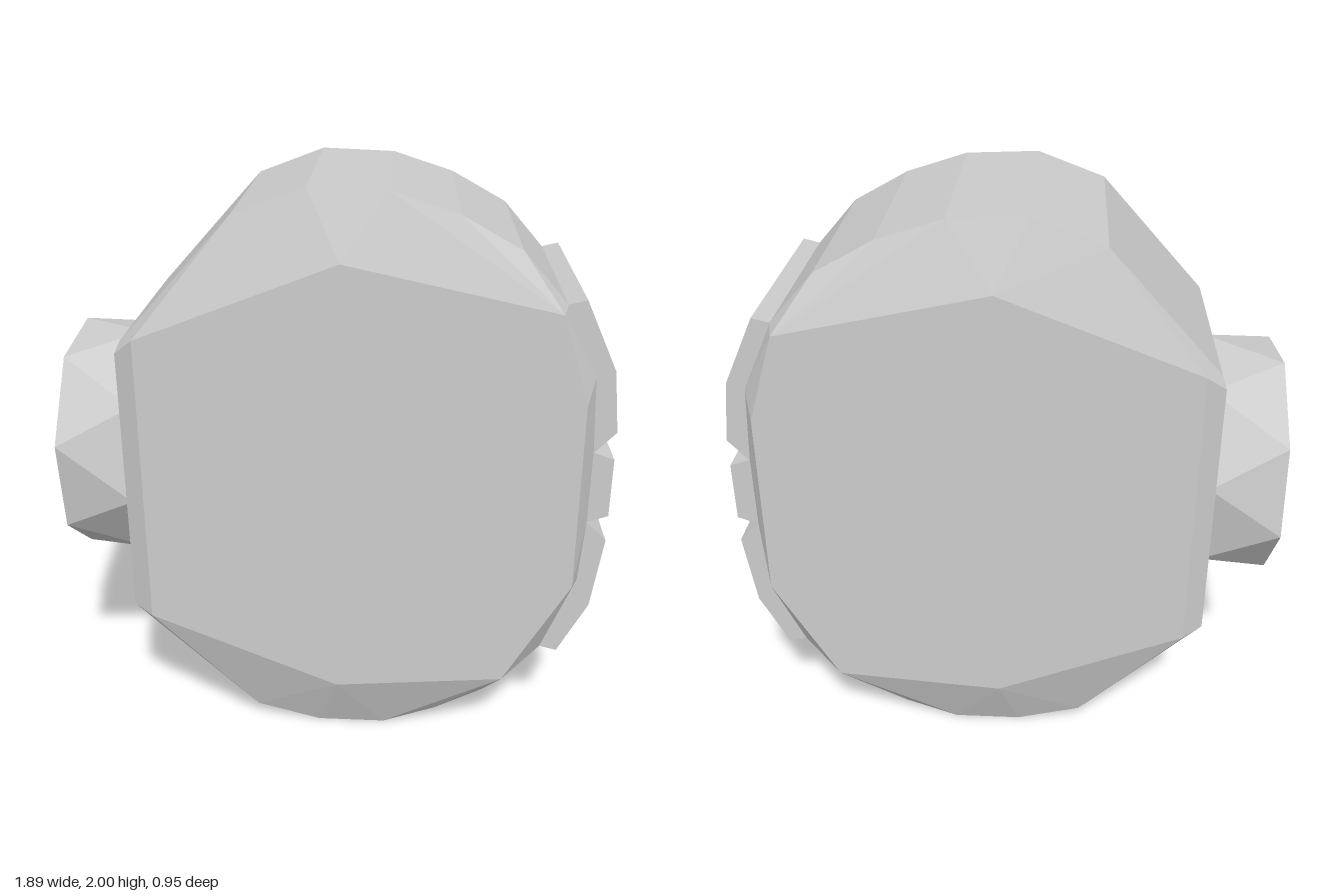
import * as THREE from 'three';
import { ConvexGeometry } from 'three/addons/geometries/ConvexGeometry.js';

const material = new THREE.MeshStandardMaterial({ color: 0xcccccc, flatShading: true });

function addMesh(group, name, geometry) {
  const mesh = new THREE.Mesh(geometry, material);
  mesh.name = name;
  group.add(mesh);
}

// Repeats an x/y outline at +z and -z
function bothSides(outline, z) {
  return outline.flatMap(([x, y]) => [new THREE.Vector3(x, y, z), new THREE.Vector3(x, y, -z)]);
}

// Eight-sided ring around the x axis
function knobRing(x, radius, turn) {
  return Array.from({ length: 8 }, (_, i) => {
    const a = THREE.MathUtils.degToRad(turn + i * 45);
    return new THREE.Vector3(x, 1 + radius * Math.sin(a), radius * Math.cos(a));
  });
}

export function createModel() {
  const model = new THREE.Group();
  model.name = 'model';

  // Faceted drum body: wide rim, flat left wall and smaller end faces
  const rim = [
    [-0.70, 0.52], [-0.28, 0.06], [-0.05, 0], [0.19, 0], [0.38, 0.07], [0.55, 0.16],
    [0.75, 0.36], [0.86, 0.64], [0.875, 0.87], [0.875, 1.13], [0.86, 1.40], [0.75, 1.64],
    [0.60, 1.81], [0.40, 1.92], [0.18, 1.99], [-0.08, 2], [-0.32, 1.91], [-0.70, 1.49],
  ];
  const wall = [[-0.71, 0.51], [-0.71, 1.46]];
  const face = [
    [-0.64, 0.49], [0.02, 0.22], [0.61, 0.27], [0.83, 0.66],
    [0.825, 1.33], [0.73, 1.63], [0.03, 1.78], [-0.64, 1.52],
  ];
  addMesh(model, 'body', new ConvexGeometry([
    ...bothSides(rim, 0.388), ...bothSides(wall, 0.43), ...bothSides(face, 0.475),
  ]));

  // Side knob with slightly twisted facets
  addMesh(model, 'sideKnob', new ConvexGeometry([
    ...knobRing(-0.95, 0.425, 15), ...knobRing(-0.69, 0.435, 34),
  ]));

  // Three raised pads on the opposite side
  const pads = {
    upperPad: [[0.75, 1.64], [0.81, 1.655], [0.92, 1.42], [0.945, 1.205], [0.875, 1.13], [0.80, 1.13]],
    middlePad: [[0.80, 1.13], [0.875, 1.13], [0.945, 1.107], [0.945, 0.895], [0.875, 0.87], [0.80, 0.87]],
    lowerPad: [[0.80, 0.868], [0.875, 0.868], [0.945, 0.80], [0.91, 0.54], [0.81, 0.345], [0.75, 0.36]],
  };
  for (const [name, outline] of Object.entries(pads)) {
    const shape = new THREE.Shape(outline.map(([x, y]) => new THREE.Vector2(x, y)));
    const geometry = new THREE.ExtrudeGeometry(shape, { depth: 0.78, bevelEnabled: false });
    addMesh(model, name, geometry.translate(0, 0, -0.39));
  }

  return model;
}
